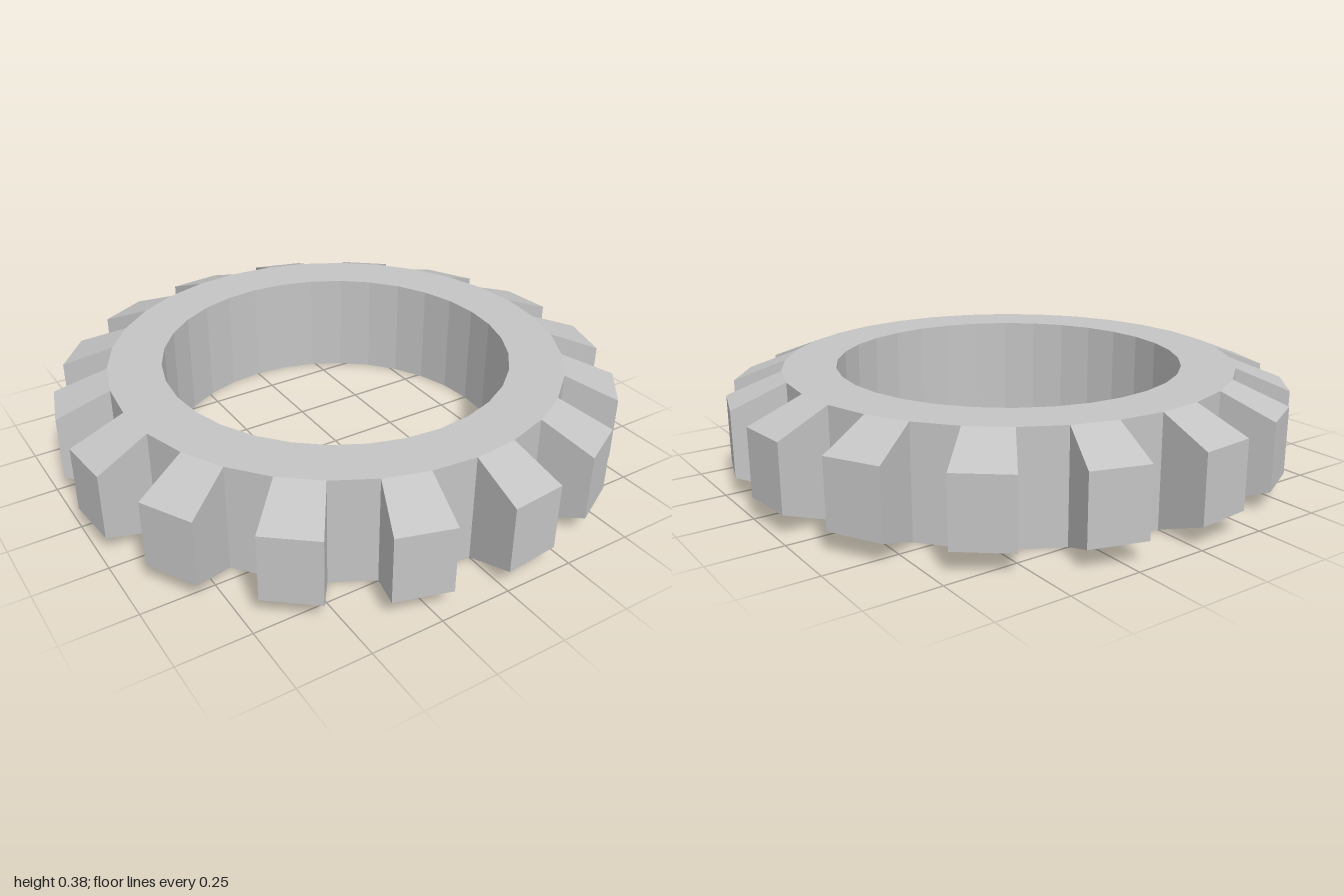
import * as THREE from 'three';

const STEPS = 32;               // ring sides; every second one carries a tooth
const STEP = (Math.PI * 2) / STEPS;
const HEIGHT = 0.385;
const INNER = 0.62, ROOT = 0.81, TIP = 1;
const BEVEL = 0.075;            // height lost at the tip, top and bottom

// Separate the faces so each gets its own flat normal
function faceted(geometry) {
  const flat = geometry.toNonIndexed();
  flat.computeVertexNormals();
  return flat;
}

// Square-section ring
function ringGeometry() {
  const profile = [
    [ROOT, 0], [ROOT, HEIGHT], [INNER, HEIGHT], [INNER, 0], [ROOT, 0],
  ].map(([r, y]) => new THREE.Vector2(r, y));
  return faceted(new THREE.LatheGeometry(profile, STEPS));
}

// Box bent to a wedge with radial sides, tapering in height towards the tip
function toothGeometry() {
  const geometry = new THREE.BoxGeometry(1, 1, 1);
  const p = geometry.attributes.position;
  for (let i = 0; i < p.count; i++) {
    const angle = p.getX(i) > 0 ? STEP : 0;
    const outer = p.getZ(i) > 0;
    const r = outer ? TIP : ROOT;
    const inset = outer ? BEVEL : 0;
    const y = p.getY(i) > 0 ? HEIGHT - inset : inset;
    p.setXYZ(i, r * Math.sin(angle), y, r * Math.cos(angle));
  }
  return faceted(geometry);
}

export function createModel() {
  const model = new THREE.Group();
  model.name = 'gear';
  const steel = new THREE.MeshStandardMaterial({ color: 0xc4c4c4 });
  steel.name = 'light grey';

  const ring = new THREE.Mesh(ringGeometry(), steel);
  ring.name = 'ring';
  model.add(ring);

  // Teeth around the rim
  const teeth = new THREE.Group();
  teeth.name = 'teeth';
  const geometry = toothGeometry();
  for (let i = 0; i < STEPS / 2; i++) {
    const tooth = new THREE.Mesh(geometry, steel);
    tooth.name = `tooth${i + 1}`;
    tooth.rotation.y = i * 2 * STEP;
    teeth.add(tooth);
  }
  model.add(teeth);
  return model;
}
